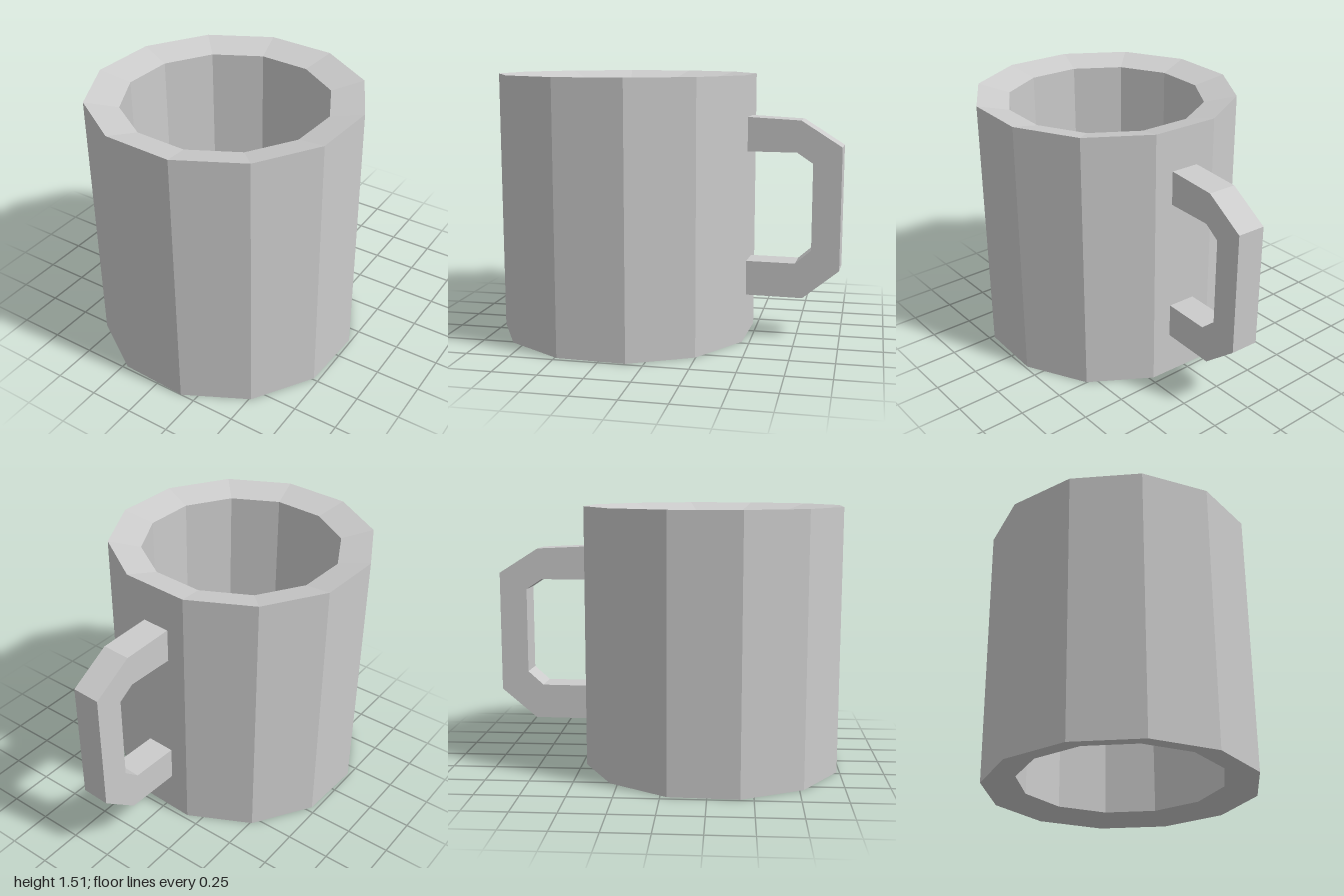
import * as THREE from 'three';

const material = new THREE.MeshStandardMaterial({ color: 0xcccccc, flatShading: true });

// Twelve-sided wall, open at both ends, with rims sloping inwards
function createWall() {
  const outer = 0.755, inner = 0.571, height = 1.515, slope = 0.045;
  const profile = [
    [inner, slope], [outer, 0], [outer, height], [inner, height - slope], [inner, slope],
  ].map(([r, y]) => new THREE.Vector2(r, y));
  const wall = new THREE.Mesh(new THREE.LatheGeometry(profile, 12, Math.PI / 12), material);
  wall.name = 'cupWall';
  return wall;
}

// Angular C-shaped handle, extruded across its width and turned to the back
function createHandle() {
  const width = 0.165;
  const outline = [
    [0.72, 0.25], [1.055, 0.25], [1.26, 0.42], [1.26, 1.12], [1.03, 1.265], [0.72, 1.28],
    [0.72, 1.085], [1.01, 1.085], [1.1, 1.025], [1.1, 0.53], [1.01, 0.45], [0.72, 0.45],
  ].map(([u, y]) => new THREE.Vector2(u, y));
  const geometry = new THREE.ExtrudeGeometry(new THREE.Shape(outline), { depth: width, bevelEnabled: false });
  geometry.translate(0, 0, -width / 2).rotateY(Math.PI / 2);
  const handle = new THREE.Mesh(geometry, material);
  handle.name = 'handle';
  return handle;
}

export function createModel() {
  const model = new THREE.Group();
  model.name = 'mug';

  // The mug is turned slightly about its own axis
  const mug = new THREE.Group();
  mug.name = 'mugBody';
  mug.add(createWall(), createHandle());
  mug.rotation.y = -0.042;
  mug.position.z = 0.263;
  model.add(mug);
  return model;
}
